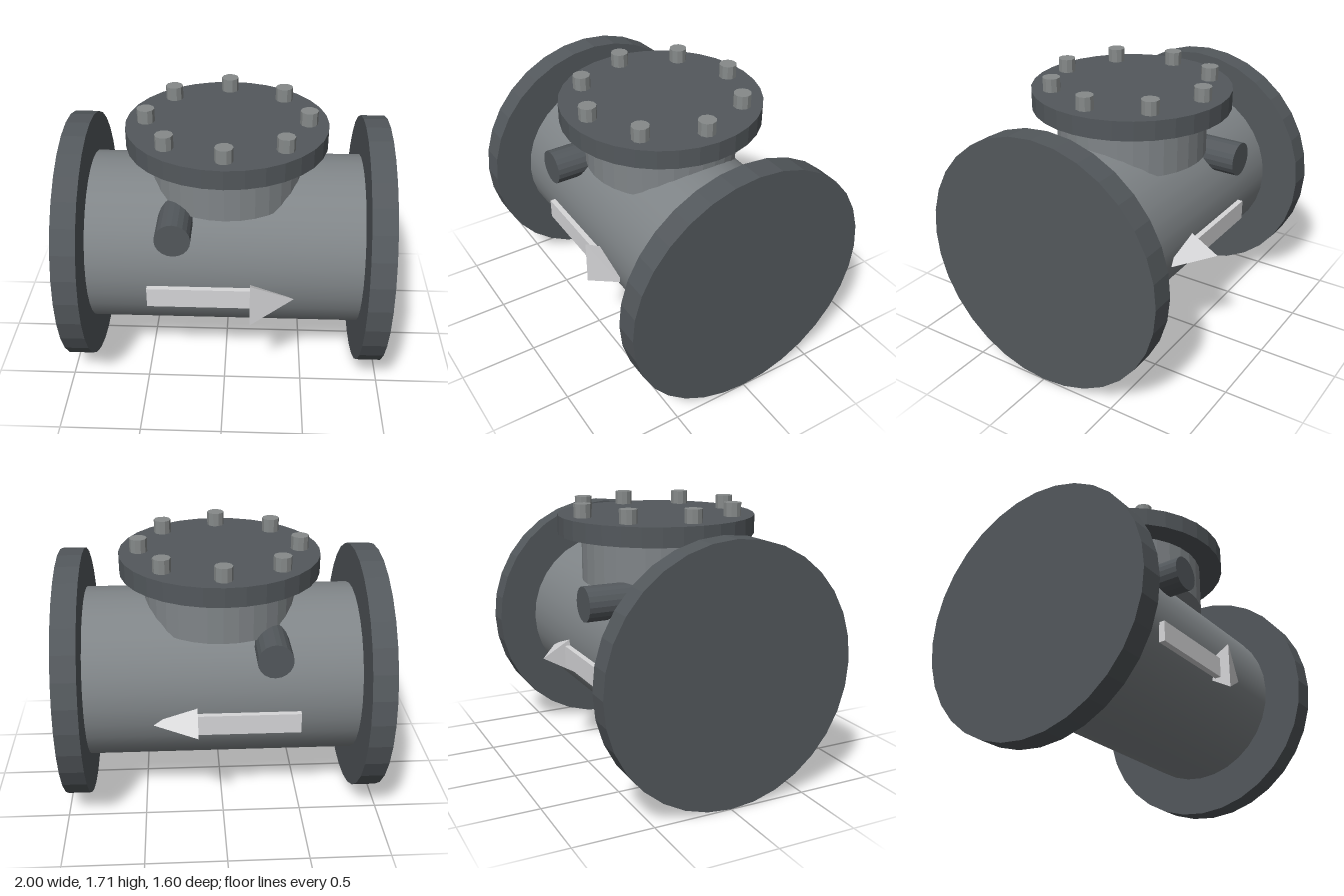
import * as THREE from 'three';

export function createModel() {
  const group = new THREE.Group();
  group.name = 'checkValve';

  const material = (name, color, flat = true) => {
    const m = new THREE.MeshStandardMaterial({ color, flatShading: flat });
    m.name = name;
    return m;
  };
  const darkSteel = material('dark steel', 0x53585c);
  const castGrey = material('cast grey', 0x808588, false);
  const boltGrey = material('bolt grey', 0x868a8a);
  const paleGrey = material('pale grey', 0xd6d6d8);

  const add = (name, geometry, mat, x, y, z) => {
    const mesh = new THREE.Mesh(geometry, mat);
    mesh.name = name;
    mesh.position.set(x, y, z);
    group.add(mesh);
    return mesh;
  };
  const cylinder = (r, h, sides, start = 0) =>
    new THREE.CylinderGeometry(r, r, h, sides, 1, false, start);

  // Horizontal pipe body with a solid flange at each end
  add('body', cylinder(0.548, 1.72, 32).rotateZ(Math.PI / 2), castGrey, 0, 0.8, 0);
  for (const side of [-1, 1]) {
    add(side > 0 ? 'leftFlange' : 'rightFlange',
      cylinder(0.8, 0.15, 32).rotateZ(Math.PI / 2), darkSteel, side * 0.925, 0.8, 0);
  }

  // Bonnet neck: faceted sides from split vertices, sharing the body colour
  const neck = cylinder(0.475, 0.3, 32).toNonIndexed();
  neck.computeVertexNormals();
  add('neck', neck, castGrey, 0, 1.35, 0);
  add('cover', cylinder(0.625, 0.12, 32), darkSteel, 0, 1.56, 0);

  // Ring of cover bolts
  for (let i = 0; i < 8; i++) {
    const a = (i * Math.PI) / 4;
    add('bolt', cylinder(0.055, 0.085, 10, Math.PI / 2), boltGrey,
      0.5 * Math.cos(a), 1.6625, 0.5 * Math.sin(a));
  }

  // Hinge pin running through the body
  add('hingePin', cylinder(0.108, 1.25, 20).rotateX(Math.PI / 2), darkSteel, -0.3, 1.15, 0);

  // Flow arrows on both sides; each head is a three-sided pyramid with its ridge towards -z
  const r = 0.17;
  for (const side of [-1, 1]) {
    add('arrowShaft', new THREE.BoxGeometry(0.64, 0.13, 0.04), paleGrey, -0.155, 0.7, side * 0.56);
    const head = new THREE.ConeGeometry(r, 0.27, 3, 1, false, Math.PI);
    head.rotateZ(-Math.PI / 2);
    add('arrowHead', head, paleGrey, 0.295, 0.7, side * 0.56);
  }
  return group;
}
